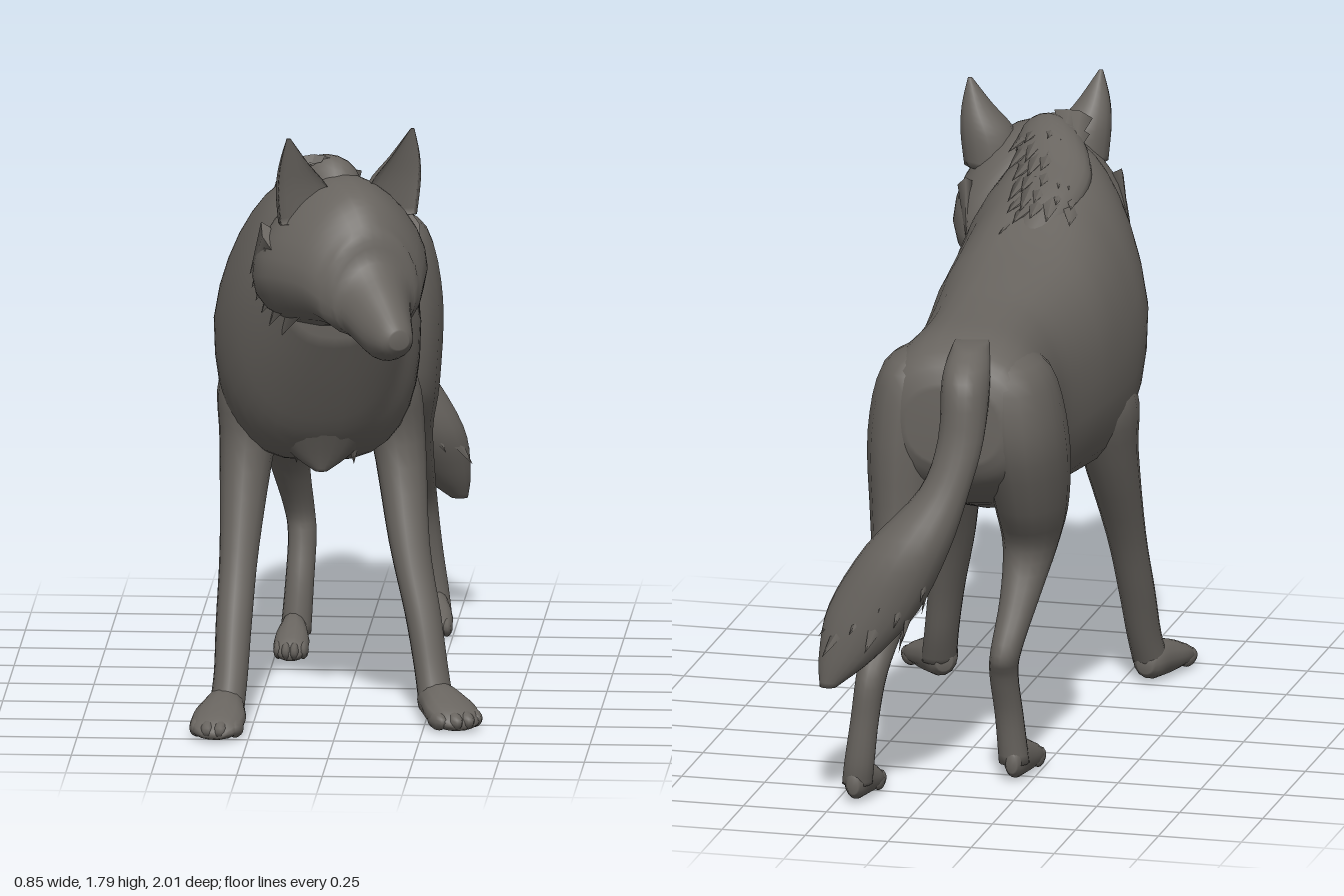
import * as THREE from 'three';

const fur = new THREE.MeshStandardMaterial({ color: 0x68645f });
fur.name = 'greyFur';

// Smoothly resample a short list of cross-sections
function resample(rings, sub) {
  const out = [];
  const n = rings.length;
  for (let i = 0; i < n - 1; i++) {
    for (let s = 0; s < sub; s++) {
      const t = s / sub;
      const a = rings[Math.max(i - 1, 0)], b = rings[i], c = rings[i + 1], d = rings[Math.min(i + 2, n - 1)];
      out.push(b.map((v, k) => v + 0.5 * t * (c[k] - a[k]
        + t * (2 * a[k] - 5 * v + 4 * c[k] - d[k] + t * (3 * (v - c[k]) + d[k] - a[k])))));
    }
  }
  out.push(rings[n - 1]);
  return out;
}

// Closed skin over rings [x, y, z, ru, rv]. Upright rings run towards +z,
// flat rings run downwards. shape() alters the unit section.
function loft(name, rings, { flat = false, segs = 20, sub = 4, shape = (u, v) => [u, v] } = {}) {
  const list = resample(rings, sub), pos = [], idx = [];
  for (const [x, y, z, ru, rv] of list) {
    for (let j = 0; j < segs; j++) {
      const a = (j / segs) * Math.PI * 2;
      const [u, v] = shape(Math.cos(a), Math.sin(a), z);
      pos.push(x + u * ru, flat ? y : y + v * rv, flat ? z + v * rv : z);
    }
  }
  const last = list.length - 1, c0 = list.length * segs;
  pos.push(...list[0].slice(0, 3), ...list[last].slice(0, 3));
  for (let j = 0; j < segs; j++) {
    const k = (j + 1) % segs;
    for (let i = 0; i < last; i++) {
      const a = i * segs + j, b = i * segs + k;
      idx.push(a, b, a + segs, b, b + segs, a + segs);
    }
    idx.push(c0, k, j, c0 + 1, last * segs + j, last * segs + k);
  }
  const g = new THREE.BufferGeometry();
  g.setAttribute('position', new THREE.Float32BufferAttribute(pos, 3));
  g.setIndex(idx);
  g.computeVertexNormals();
  const m = new THREE.Mesh(g, fur);
  m.name = name;
  return m;
}

// Upright rings given as [z, xCentre, yBottom, yTop, halfWidth]
const upright = rows => rows.map(([z, x, b, t, w]) => [x, (b + t) / 2, z, w, (t - b) / 2]);

let seed = 7;
const rnd = () => (seed = (seed * 16807) % 2147483647) / 2147483647 - 0.5;

// Flattened lock of fur pointing along dir, lying against the outward side
function tuft(name, p, dir, out, len, wide) {
  const m = new THREE.Mesh(new THREE.ConeGeometry(wide, len, 5), fur);
  const y = new THREE.Vector3(...dir).normalize();
  const x = new THREE.Vector3().crossVectors(y, new THREE.Vector3(...out)).normalize();
  m.quaternion.setFromRotationMatrix(new THREE.Matrix4().makeBasis(x, y, x.clone().cross(y)));
  m.scale.z = 0.35;
  m.position.set(...p);
  m.name = name;
  return m;
}

function paw(name, x, z, len, w, yaw) {
  const g = new THREE.Group();
  g.name = name;
  g.add(loft('pawPad', upright([
    [-0.07, 0, 0.03, 0.08, w * 0.3], [-0.04, 0, 0.008, 0.115, w * 0.6], [0.02, 0, 0, 0.115, w * 0.8],
    [len * 0.5, 0, 0, 0.09, w], [len * 0.85, 0, 0, 0.06, w * 0.85], [len, 0, 0.01, 0.03, w * 0.4],
  ]), { segs: 14, sub: 3 }));
  for (let i = 0; i < 4; i++) {
    const toe = new THREE.Mesh(new THREE.SphereGeometry(1, 10, 8), fur);
    toe.name = 'toe';
    const k = (i - 1.5) / 1.5;
    toe.scale.set(w * 0.3, 0.028, 0.05);
    toe.position.set(k * w * 0.7, 0.03, len * (0.82 - 0.16 * k * k));
    g.add(toe);
  }
  g.position.set(x, 0, z);
  g.rotation.y = yaw;
  return g;
}

export function createModel() {
  const wolf = new THREE.Group();
  wolf.name = 'wolf';

  // Torso and neck, fuller low down at the shoulders
  wolf.add(loft('body', upright([
    [-0.73, -0.06, 1.0, 1.23, 0.14], [-0.69, -0.06, 0.93, 1.31, 0.22], [-0.58, -0.06, 0.85, 1.36, 0.25],
    [-0.4, -0.06, 0.78, 1.38, 0.235], [-0.25, -0.06, 0.74, 1.4, 0.24], [0, -0.075, 0.74, 1.455, 0.28],
    [0.2, -0.08, 0.74, 1.54, 0.3], [0.34, -0.075, 0.75, 1.6, 0.3], [0.45, -0.07, 0.83, 1.63, 0.265],
    [0.55, -0.04, 0.99, 1.64, 0.225], [0.65, 0, 1.18, 1.58, 0.16],
  ]), {
    segs: 32,
    shape: (u, v, z) => {
      const low = v < 0 ? Math.max(0, 1 - Math.abs(z - 0.2) / 0.25) : 0;
      const narrow = 1 - (z > 0 ? 0.22 * Math.min(1, z * 4) : 0) * Math.max(v, 0);
      return [Math.sign(u) * Math.abs(u) ** (0.8 - 0.2 * low) * narrow,
        Math.sign(v) * Math.abs(v) ** (0.9 - 0.1 * low)];
    },
  }));

  // Shaggy chest hanging to a point
  wolf.add(loft('chestRuff', [
    [0, 1.22, 0.54, 0.13, 0.09], [-0.03, 1.05, 0.47, 0.16, 0.1], [-0.05, 0.9, 0.4, 0.16, 0.09],
    [-0.06, 0.79, 0.375, 0.1, 0.06], [-0.06, 0.73, 0.39, 0.02, 0.02]], { flat: true }));
  for (let i = 0; i < 45; i++) {
    const y = 1.16 - 0.042 * (i % 9), w = 0.08 - 0.04 * (i % 9) / 8;
    const x = (Math.floor(i / 9) - 2 + rnd() * 0.6) * w;
    wolf.add(tuft('chestTuft', [-0.03 - 0.1 * (1.1 - y) + x, y, 0.62 - 0.54 * (1.2 - y) - x * x * 3],
      [0, -1, -0.25 + rnd() * 0.15], [x * 4, -0.25, 1], 0.16, 0.045));
  }

  // Legs, each from shoulder or hip to ankle
  const leg = (name, rows) => wolf.add(loft(name, rows, { flat: true, segs: 16 }));
  leg('rightFrontLeg', [
    [-0.22, 1.15, 0.2, 0.05, 0.08], [-0.265, 0.97, 0.2, 0.105, 0.16], [-0.285, 0.78, 0.24, 0.082, 0.115],
    [-0.3, 0.5, 0.37, 0.058, 0.067], [-0.31, 0.3, 0.46, 0.053, 0.06], [-0.315, 0.15, 0.525, 0.05, 0.06],
    [-0.325, 0.05, 0.57, 0.052, 0.06]]);
  leg('leftFrontLeg', [
    [0.05, 1.15, 0.16, 0.05, 0.08], [0.105, 0.97, 0.15, 0.1, 0.16], [0.15, 0.78, 0.155, 0.08, 0.11],
    [0.19, 0.5, 0.28, 0.06, 0.07], [0.235, 0.3, 0.355, 0.053, 0.063], [0.262, 0.15, 0.4, 0.05, 0.062],
    [0.28, 0.05, 0.44, 0.052, 0.06]]);
  leg('rightHindLeg', [
    [-0.17, 1.32, -0.56, 0.03, 0.05], [-0.205, 1.25, -0.55, 0.1, 0.155], [-0.225, 1.05, -0.53, 0.125, 0.195],
    [-0.23, 0.83, -0.46, 0.105, 0.17], [-0.22, 0.69, -0.43, 0.08, 0.115], [-0.21, 0.55, -0.52, 0.058, 0.075],
    [-0.19, 0.41, -0.605, 0.045, 0.065], [-0.18, 0.33, -0.59, 0.042, 0.048], [-0.185, 0.2, -0.55, 0.042, 0.042],
    [-0.195, 0.05, -0.53, 0.045, 0.045]]);
  leg('leftHindLeg', [
    [0.05, 1.32, -0.56, 0.03, 0.05], [0.09, 1.25, -0.55, 0.1, 0.155], [0.11, 1.05, -0.54, 0.125, 0.19],
    [0.115, 0.8, -0.55, 0.11, 0.18], [0.12, 0.65, -0.635, 0.08, 0.13], [0.14, 0.5, -0.74, 0.058, 0.085],
    [0.155, 0.38, -0.835, 0.045, 0.063], [0.17, 0.25, -0.86, 0.042, 0.045], [0.185, 0.12, -0.865, 0.045, 0.042],
    [0.195, 0.05, -0.85, 0.045, 0.045]]);
  wolf.add(
    paw('rightFrontPaw', -0.33, 0.575, 0.215, 0.08, -0.1), paw('leftFrontPaw', 0.285, 0.45, 0.18, 0.08, 0.5),
    paw('rightHindPaw', -0.2, -0.51, 0.175, 0.052, 0), paw('leftHindPaw', 0.195, -0.835, 0.145, 0.055, 0));

  // Bushy tail swung to the left
  wolf.add(loft('tail', [
    [-0.09, 1.35, -0.62, 0.05, 0.07], [-0.1, 1.27, -0.72, 0.07, 0.09], [-0.1, 1.1, -0.785, 0.068, 0.06],
    [-0.06, 0.95, -0.825, 0.075, 0.065], [0.04, 0.78, -0.865, 0.125, 0.105], [0.135, 0.6, -0.89, 0.135, 0.1],
    [0.205, 0.46, -0.93, 0.085, 0.06], [0.255, 0.37, -0.96, 0.025, 0.02]], { flat: true }));
  for (let i = 0; i < 32; i++) {
    const a = i * 2.4, t = i / 32, u = Math.cos(a), v = Math.sin(a), r = 0.6 + 0.4 * Math.min(1, t * 3);
    wolf.add(tuft('tailTuft', [0.01 + 0.16 * t + u * 0.115 * r, 0.82 - 0.3 * t, -0.855 - 0.05 * t + v * 0.085 * r],
      [0.45 + u * 0.3, -1, -0.2 + v * 0.2], [u, 0, v], 0.15, 0.04));
  }

  // Raised mane with locks swept back
  wolf.add(loft('mane', upright([
    [0.06, -0.08, 1.42, 1.47, 0.03], [0.2, -0.1, 1.45, 1.56, 0.08], [0.35, -0.09, 1.5, 1.625, 0.11],
    [0.48, -0.05, 1.5, 1.69, 0.11], [0.56, -0.02, 1.5, 1.7, 0.09], [0.62, 0, 1.52, 1.64, 0.05]])));
  for (let i = 0; i < 30; i++) {
    const t = i / 29, k = (i % 5) / 2 - 1 + rnd() * 0.3;
    wolf.add(tuft('maneTuft', [-0.04 - 0.06 * t + k * 0.08, 1.69 - 0.17 * t - k * k * 0.025, 0.51 - 0.38 * t],
      [k * 0.2, -0.25 + rnd() * 0.25, -1], [k * 0.4, 1, 0], 0.16, 0.045));
  }

  // Head, turned to the left, with a steep brow above the muzzle
  const head = new THREE.Group();
  head.name = 'head';
  head.position.set(0.03, 0, 0.62);
  head.rotation.y = 0.45;
  head.add(loft('skullAndMuzzle', upright([
    [-0.17, 0, 1.25, 1.56, 0.17], [-0.13, 0, 1.2, 1.62, 0.235], [-0.05, 0, 1.2, 1.655, 0.25],
    [0.04, 0, 1.22, 1.65, 0.23], [0.13, 0, 1.23, 1.615, 0.19], [0.2, 0, 1.21, 1.53, 0.145],
    [0.23, 0, 1.2, 1.445, 0.11], [0.31, 0, 1.17, 1.37, 0.08], [0.38, 0, 1.19, 1.305, 0.055],
    [0.41, 0, 1.22, 1.275, 0.03]]), {
    segs: 24, shape: (u, v, z) => [u * (1 - (z < 0.2 ? 0.28 : 0.1) * v), v],
  }));
  for (const s of [-1, 1]) {
    // Pointed ears, hollow at the front
    head.add(loft(s > 0 ? 'leftEar' : 'rightEar', [
      [s * 0.195, 1.79, 0.03, 0.006, 0.006], [s * 0.175, 1.71, 0.025, 0.045, 0.045],
      [s * 0.145, 1.63, 0.02, 0.08, 0.08], [s * 0.125, 1.53, 0.015, 0.09, 0.09]],
    { flat: true, segs: 14, shape: (u, v) => [u, v > 0 ? -0.2 * v : v] }));
    // Cheek ruff
    for (let i = 0; i < 6; i++) {
      head.add(tuft('cheekTuft', [s * (0.235 - 0.003 * i * i), 1.42 - 0.038 * i, -0.1 + 0.008 * i],
        [s * 0.1, -0.75, -0.6], [s, 0, 0], 0.17, 0.06));
    }
  }
  wolf.add(head);
  return wolf;
}
